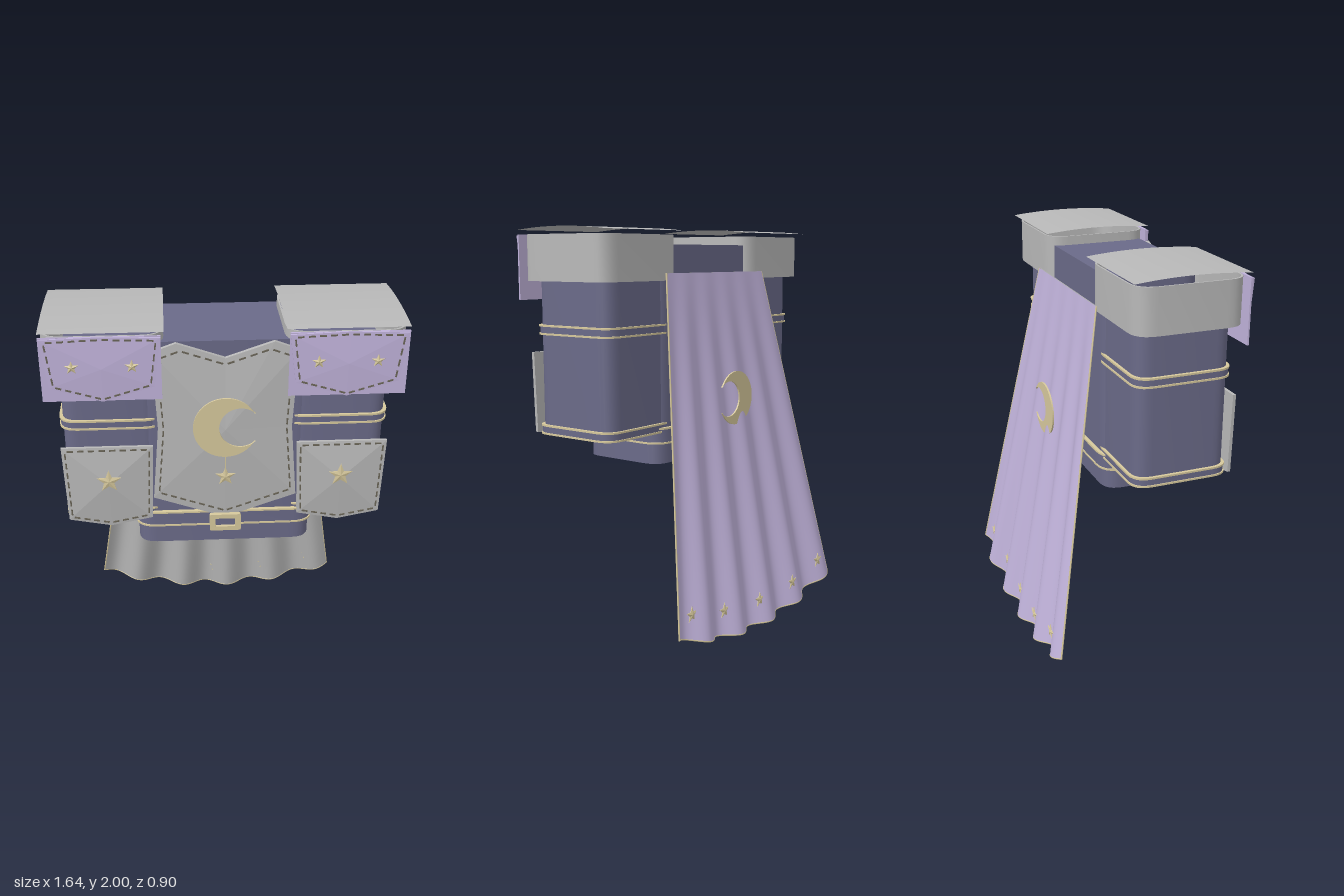
import * as THREE from 'three';
import { toCreasedNormals } from 'three/addons/utils/BufferGeometryUtils.js';

const mat = (name, color, side = THREE.FrontSide) => {
  const m = new THREE.MeshStandardMaterial({ color, side });
  m.name = name;
  return m;
};

export function createModel() {
  const root = new THREE.Group();
  root.name = 'wizardArmour';
  const navy = mat('navyCloth', 0x6a6a88);
  const silver = mat('silverCloth', 0xb8b8b8, THREE.DoubleSide);
  const lavender = mat('lavenderCloth', 0xc0b2da, THREE.DoubleSide);
  const gold = mat('paleGold', 0xd6c89c, THREE.DoubleSide);
  const thread = mat('darkThread', 0x6a6558);

  const add = (name, geo, material, x = 0, y = 0, z = 0, parent = root) => {
    const mesh = new THREE.Mesh(geo, material);
    mesh.name = name;
    mesh.position.set(x, y, z);
    parent.add(mesh);
    return mesh;
  };

  // Rounded rectangle centred on the origin
  const roundRect = (w, d, r, Type = THREE.Shape) => {
    const s = new Type(), a = w / 2, b = d / 2;
    s.moveTo(-a + r, -b);
    s.lineTo(a - r, -b); s.quadraticCurveTo(a, -b, a, -b + r);
    s.lineTo(a, b - r); s.quadraticCurveTo(a, b, a - r, b);
    s.lineTo(-a + r, b); s.quadraticCurveTo(-a, b, -a, b - r);
    s.lineTo(-a, -b + r); s.quadraticCurveTo(-a, -b, -a + r, -b);
    return s;
  };
  // Upright prism with rounded corners, optionally a hollow ring
  const prism = (w, d, r, h, wall = 0) => {
    const s = roundRect(w, d, r);
    if (wall) s.holes.push(roundRect(w - 2 * wall, d - 2 * wall, r - wall / 2, THREE.Path));
    const g = new THREE.ExtrudeGeometry(s, { depth: h, bevelEnabled: false, curveSegments: 6 });
    g.rotateX(-Math.PI / 2);
    return toCreasedNormals(g, 0.6);
  };

  // Faceted plate: outline fanned to a raised centre, with a rim and flat back
  const plateGeo = (pts, c, bulge, thick) => {
    const p = [], n = pts.length;
    pts.forEach((a, i) => {
      const b = pts[(i + 1) % n];
      p.push(...a, 0, ...b, 0, ...c, bulge);
      p.push(...b, -thick, ...a, -thick, ...c, -thick);
      p.push(...a, -thick, ...b, -thick, ...b, 0, ...a, -thick, ...b, 0, ...a, 0);
    });
    const g = new THREE.BufferGeometry();
    g.setAttribute('position', new THREE.Float32BufferAttribute(p, 3));
    g.computeVertexNormals();
    return g;
  };

  // Mirror a right-hand half outline (bottom centre up to top centre, counter-clockwise)
  const mirrorOutline = (half) => [
    ...half,
    ...half.filter((p) => p[0] > 0).reverse().map(([x, y]) => [-x, y]),
  ];

  // Dashes following the outline, slightly inset
  const stitches = (parent, pts, c, bulge, inset = 0.92, step = 0.05) => {
    const q = pts.map(([x, y]) => [c[0] + (x - c[0]) * inset, c[1] + (y - c[1]) * inset]);
    q.forEach((a, i) => {
      const b = q[(i + 1) % q.length];
      const len = Math.hypot(b[0] - a[0], b[1] - a[1]);
      const count = Math.max(1, Math.round(len / step));
      for (let k = 0; k < count; k++) {
        const t = (k + 0.5) / count;
        const m = add('stitch', new THREE.BoxGeometry(len / count * 0.6, 0.007, 0.006), thread,
          a[0] + (b[0] - a[0]) * t, a[1] + (b[1] - a[1]) * t, bulge * (1 - inset) + 0.002, parent);
        m.rotation.z = Math.atan2(b[1] - a[1], b[0] - a[0]);
      }
    });
  };

  const plate = (name, material, pts, c, bulge, thick, x, y, z) => {
    const g = new THREE.Group();
    g.name = name;
    g.position.set(x, y, z);
    root.add(g);
    add(name + 'Panel', plateGeo(pts, c, bulge, thick), material, 0, 0, 0, g);
    stitches(g, pts, c, bulge);
  };

  const star = (name, r, x, y, z) => {
    const pts = [];
    for (let i = 0; i < 10; i++) {
      const a = Math.PI / 2 + i * Math.PI / 5, q = i % 2 ? r * 0.42 : r;
      pts.push([Math.cos(a) * q, Math.sin(a) * q]);
    }
    return add(name, plateGeo(pts, [0, 0], 0.006, 0.003), gold, x, y, z);
  };

  const moon = (name, r, x, y, z) => {
    const s = new THREE.Shape(), a = 0.5, ir = r * 0.66, ix = r * 0.46;
    s.absarc(0, 0, r, a, Math.PI * 2 - a, false);
    s.absarc(ix, 0, ir, Math.PI * 2 - 0.8, 0.8, true);
    return add(name, new THREE.ExtrudeGeometry(s, { depth: 0.008, bevelEnabled: false, curveSegments: 28 }),
      gold, x, y, z);
  };

  // Torso and belt
  const midZ = 0.145;
  add('torso', prism(0.84, 0.47, 0.09, 1.06), navy, 0, 0.86, midZ);
  add('belt', prism(0.86, 0.50, 0.1, 0.07), navy, 0, 0.965, midZ);
  for (const y of [0.96, 1.032]) add('beltPiping', prism(0.868, 0.508, 0.1, 0.009), gold, 0, y, midZ);
  const buckle = roundRect(0.15, 0.09, 0.008);
  buckle.holes.push(roundRect(0.095, 0.045, 0.005, THREE.Path));
  add('buckle', new THREE.ExtrudeGeometry(buckle, { depth: 0.02, bevelEnabled: false }), gold, 0, 0.998, 0.42);
  add('buckleBack', new THREE.BoxGeometry(0.1, 0.05, 0.02), navy, 0, 0.998, 0.415);

  // Chest plate with moon and hanging star
  const chest = mirrorOutline([[0, -0.49], [0.34, -0.37], [0.31, 0], [0.33, 0.38], [0.22, 0.42], [0, 0.345]]);
  plate('chestPlate', silver, chest, [0, 0], 0.03, 0.02, 0, 1.5, 0.405);
  moon('chestMoon', 0.15, 0, 1.515, 0.436);
  add('starCord', new THREE.BoxGeometry(0.006, 0.1, 0.004), gold, 0, 1.33, 0.436);
  star('chestStar', 0.05, 0, 1.253, 0.434);

  // Sleeves, shoulder guards and side panels
  const flap = mirrorOutline([[0, -0.16], [0.235, -0.09], [0.265, 0.14], [0, 0.15]]);
  const tasset = mirrorOutline([[0, -0.245], [0.2, -0.205], [0.213, 0.185], [0, 0.185]]);
  for (const s of [1, -1]) {
    add('sleeve', prism(0.45, 0.46, 0.08, 0.8), navy, s * 0.525, 1.015, midZ + 0.005);
    for (const y of [1.02, 1.5]) {
      add('sleeveBand', prism(0.466, 0.476, 0.085, 0.04), navy, s * 0.527, y, midZ + 0.005);
      for (const dy of [-0.004, 0.035]) {
        add('sleevePiping', prism(0.476, 0.486, 0.088, 0.009), gold, s * 0.527, y + dy, midZ + 0.005);
      }
    }
    add('shoulderWall', prism(0.545, 0.53, 0.1, 0.215, 0.008), silver, s * 0.545, 1.75, midZ);
    const cap = new THREE.PlaneGeometry(0.55, 0.56, 1, 12).rotateX(-Math.PI / 2);
    const p = cap.attributes.position;
    for (let i = 0; i < p.count; i++) p.setY(i, -0.015 * (p.getZ(i) / 0.28) ** 2);
    cap.computeVertexNormals();
    add('shoulderCap', cap, silver, s * 0.545, 2, midZ);

    add('shoulderFlapLining', new THREE.BoxGeometry(0.535, 0.305, 0.008), lavender, s * 0.5525, 1.8125, 0.416);
    plate('shoulderFlap', lavender, flap, [0, 0], 0.008, 0.01, s * 0.55, 1.82, 0.432);
    for (const x of [0.415, 0.68]) star('shoulderStar', 0.032, s * x, 1.832, 0.442);

    plate('sidePanel', silver, tasset, [0, 0], 0.025, 0.015, s * 0.55, 1.225, 0.405);
    star('sidePanelStar', 0.06, s * 0.548, 1.243, 0.434);
  }

  // Cape: a flared sheet whose folds deepen towards a curved hem
  const capePoint = (u, v, out = new THREE.Vector3()) => {
    const k = 2 * u - 1;
    return out.set(k * (0.4 + 0.27 * v), 1.785 * (1 - v) + v * (0.004 + 0.118 * k * k),
      -0.135 - 0.286 * v - 0.03 * v * Math.sin(u * Math.PI * 10));
  };
  const capeSheet = (flip, dz) => {
    const g = new THREE.PlaneGeometry(1, 1, 80, 10), p = g.attributes.position, q = new THREE.Vector3();
    for (let i = 0; i < p.count; i++) {
      capePoint(0.5 + flip * p.getX(i), 0.5 - p.getY(i), q);
      p.setXYZ(i, q.x, q.y, q.z + dz);
    }
    g.computeVertexNormals();
    return g;
  };
  add('capeLining', capeSheet(1, 0.003), silver);
  add('capeOuter', capeSheet(-1, -0.003), lavender);
  const edge = (fn) => {
    const pts = Array.from({ length: 61 }, (_, i) => fn(i / 60));
    return new THREE.TubeGeometry(new THREE.CatmullRomCurve3(pts), 80, 0.0045, 5);
  };
  add('capeHem', edge((t) => capePoint(t, 1)), gold);
  for (const u of [0, 1]) add('capeSideTrim', edge((t) => capePoint(u, t)), gold);

  // Cape decorations
  moon('capeMoon', 0.135, 0, 1.16, -0.262);
  for (const u of [0.08, 0.28, 0.5, 0.72, 0.92]) {
    const q = capePoint(u, 0.93);
    star('capeStar', 0.04, q.x, q.y, q.z - 0.016).rotation.y = Math.PI;
  }
  return root;
}
